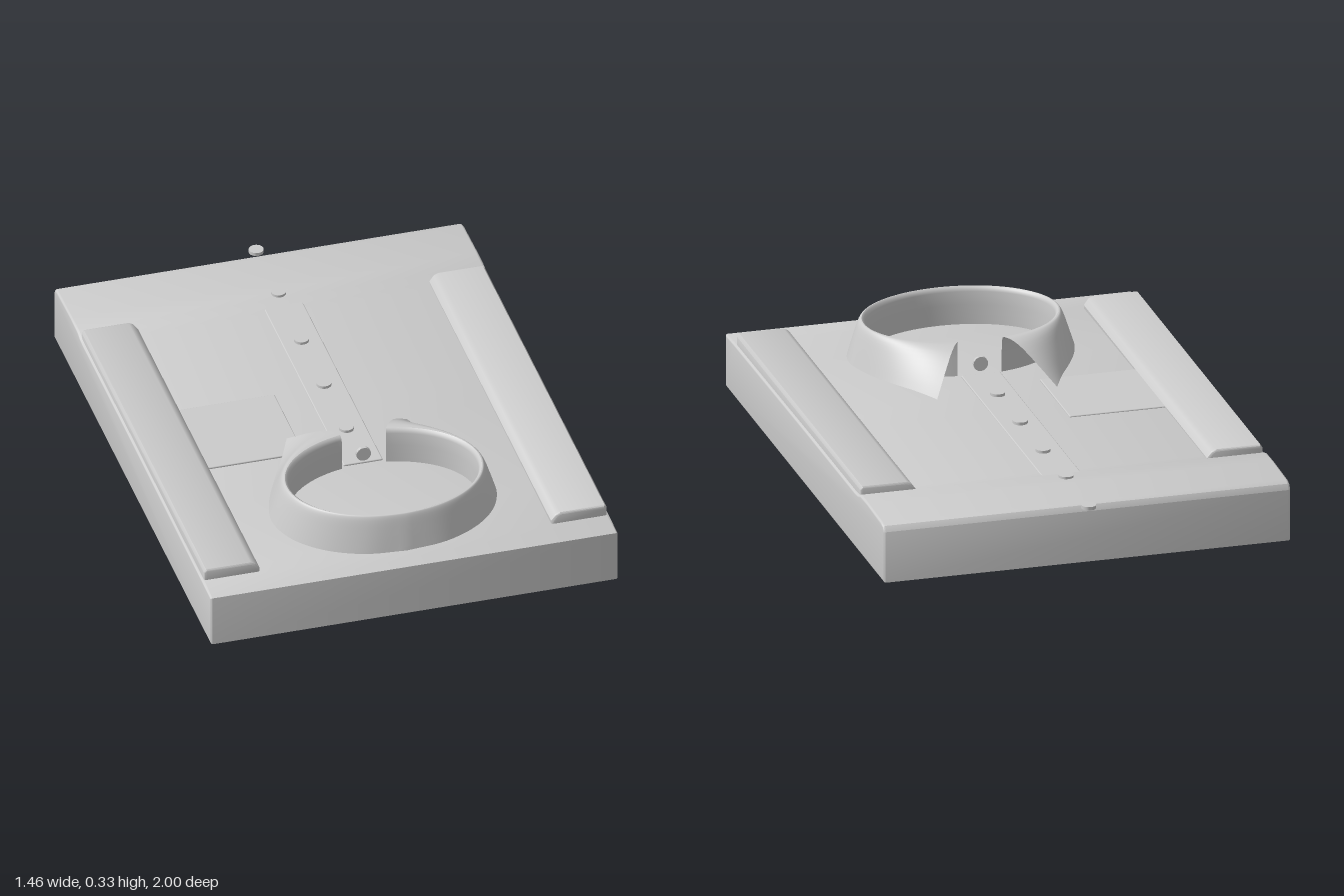
import * as THREE from 'three';
import { toCreasedNormals } from 'three/addons/utils/BufferGeometryUtils.js';
import { RoundedBoxGeometry } from 'three/addons/geometries/RoundedBoxGeometry.js';

const cloth = new THREE.MeshStandardMaterial({ color: 0xcccccc });
const thinCloth = new THREE.MeshStandardMaterial({ color: 0xcccccc, side: THREE.DoubleSide });

function add(parent, name, geometry, x = 0, y = 0, z = 0, material = cloth) {
  const mesh = new THREE.Mesh(geometry, material);
  mesh.name = name;
  mesh.position.set(x, y, z);
  parent.add(mesh);
  return mesh;
}

// Bevelled prism whose overall size matches the given outline and depth, centred on local z
function prism(points, depth, bevel) {
  const shape = new THREE.Shape(points.map(([x, y]) => new THREE.Vector2(x, y)));
  const geo = new THREE.ExtrudeGeometry(shape, {
    depth: depth - 2 * bevel, bevelSize: bevel, bevelThickness: bevel,
    bevelOffset: -bevel, bevelSegments: 3,
  });
  geo.translate(0, 0, bevel - depth / 2);
  return toCreasedNormals(geo, 0.6);
}

// Surface lofted through a grid of points: point(u, v) with u and v from 0 to 1
function loft(point, nu, nv) {
  const pos = [], index = [];
  for (let i = 0; i <= nu; i++) {
    for (let j = 0; j <= nv; j++) {
      pos.push(...point(i / nu, j / nv));
      if (i < nu && j < nv) {
        const a = i * (nv + 1) + j, b = a + nv + 1;
        index.push(a, a + 1, b, b, a + 1, b + 1);
      }
    }
  }
  const geo = new THREE.BufferGeometry();
  geo.setAttribute('position', new THREE.Float32BufferAttribute(pos, 3));
  geo.setIndex(index);
  geo.computeVertexNormals();
  return geo;
}

// Collar outlines, right half from the neck's back (t = 0) to the collar point (t = 1)
const hem = new THREE.CatmullRomCurve3([
  [0, 0.91], [0.15, 0.89], [0.28, 0.825], [0.365, 0.73], [0.4, 0.615],
  [0.378, 0.5], [0.325, 0.38], [0.265, 0.265], [0.215, 0.155],
].map(([x, z]) => new THREE.Vector3(x, 0.2, z)));
const fallHeight = new THREE.CatmullRomCurve3([
  [0, 0.335], [0.12, 0.333], [0.3, 0.317], [0.6, 0.27], [1, 0.2],
].map(([s, y]) => new THREE.Vector3(s, y, 0)));

function ring(t, rx, rz) {
  const a = t * 2.9;
  return [rx * Math.sin(a), 0.613 + rz * Math.cos(a)];
}
// u runs -1..1 around the whole neck
function fallPoint(u, v) {
  const t = Math.abs(u), side = Math.sign(u) || 1;
  const [x, z] = ring(t, 0.345, 0.262);
  const low = hem.getPoint(t), f = fallHeight.getPoint(v);
  return [
    side * THREE.MathUtils.lerp(x, low.x, f.x),
    f.y + 0.012 * f.x * THREE.MathUtils.smoothstep(t, 0.6, 1),
    THREE.MathUtils.lerp(z, low.z, f.x),
  ];
}
const bandProfile = [[0, 0.335], [-0.007, 0.33], [-0.012, 0.318], [-0.014, 0.27], [-0.014, 0.195]];
function bandPoint(u, v) {
  const [inset, y] = bandProfile[Math.round(v * 4)];
  const [x, z] = ring(Math.abs(u), 0.345 + inset, 0.262 + inset);
  return [(Math.sign(u) || 1) * x, y, z];
}

export function createModel() {
  const shirt = new THREE.Group();
  shirt.name = 'foldedShirt';

  // Folded body: side profile with the raised hem fold at the rear
  const body = prism([
    [1, 0.004], [1, 0.195], [0.9, 0.198], [0.6, 0.201], [0, 0.205], [-0.6, 0.206],
    [-0.635, 0.209], [-0.665, 0.219], [-0.75, 0.221], [-0.92, 0.216],
    [-0.945, 0.209], [-0.957, 0.19], [-0.957, 0.004],
  ], 1.46, 0.008);
  body.rotateY(-Math.PI / 2);
  add(shirt, 'body', body);

  // Sleeves folded along both long edges
  for (const side of [-1, 1]) {
    const outline = [[0.522, 0.18], [0.722, 0.18], [0.722, 0.228], [0.714, 0.24], [0.555, 0.24], [0.538, 0.232], [0.522, 0.21]]
      .map(([x, y]) => [side * x, y]);
    add(shirt, side > 0 ? 'leftSleeve' : 'rightSleeve', prism(outline, 1.53, 0.008), 0, 0, 0.125);
  }

  // Button placket and chest pocket
  add(shirt, 'placket', new RoundedBoxGeometry(0.14, 0.016, 1.01, 2, 0.004), 0, 0.201, -0.145);
  add(shirt, 'pocket', new RoundedBoxGeometry(0.35, 0.016, 0.37, 2, 0.004), -0.355, 0.202, 0.065);

  // Collar: outer fall with two points, and the inner stand
  const collar = new THREE.Group();
  collar.name = 'collar';
  shirt.add(collar);
  add(collar, 'collarFall', loft((u, v) => fallPoint(u * 2 - 1, v), 96, 14), 0, 0, 0, thinCloth);
  add(collar, 'collarStand', loft((u, v) => bandPoint(u * 2 - 1, v), 96, 4), 0, 0, 0, thinCloth);

  // Buttons down the placket, plus an upright one at the neck
  const button = toCreasedNormals(new THREE.CylinderGeometry(0.026, 0.026, 0.012, 24), 0.6);
  [[-0.974, 0.215], [-0.695, 0.222], [-0.41, 0.213], [-0.13, 0.213], [0.15, 0.213]]
    .forEach(([z, y], i) => add(shirt, `button${i + 1}`, button, 0, y, z));
  add(shirt, 'neckButton', button, 0, 0.245, 0.362).rotation.x = Math.PI / 2;

  return shirt;
}
